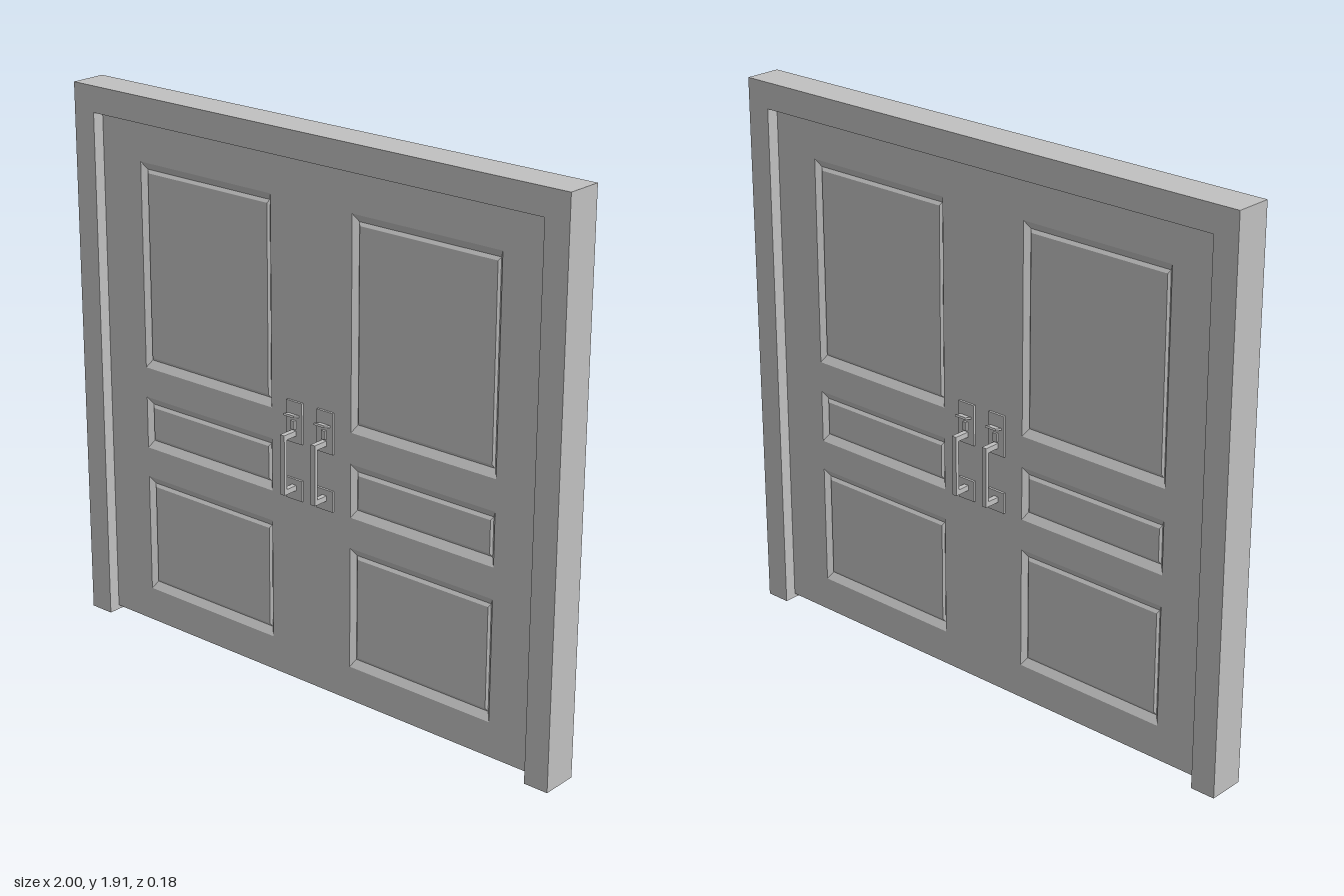
import * as THREE from 'three';

const grey = new THREE.MeshStandardMaterial({ color: 0xc0c0c0 });
grey.name = 'plain grey';

const DOOR_Z = 0.023; // half thickness of the door slab
const PANELS = [[0.96, 1.677], [0.668, 0.853], [0.136, 0.561]]; // bottom, top
const PANEL_X = [0.168, 0.74];

function add(parent, name, geometry, x = 0, y = 0, z = 0) {
  const mesh = new THREE.Mesh(geometry, grey);
  mesh.name = name;
  mesh.position.set(x, y, z);
  parent.add(mesh);
  return mesh;
}

function box(parent, name, w, h, d, x, y, z) {
  return add(parent, name, new THREE.BoxGeometry(w, h, d), x, y, z);
}

function polygon(points) {
  return points.map(([x, y]) => new THREE.Vector2(x, y));
}

function rect(x0, y0, x1, y1) {
  return polygon([[x0, y0], [x1, y0], [x1, y1], [x0, y1]]);
}

function slab(shape, halfDepth) {
  const g = new THREE.ExtrudeGeometry(shape, { depth: 2 * halfDepth, bevelEnabled: false });
  return g.translate(0, 0, -halfDepth);
}

// Sunk panel: slope in, short slope back out, flat centre
function panelGeometry(x0, y0, x1, y1) {
  const rings = [[0, 0, 0], [0.016, 0.026, -0.016], [0.023, 0.037, -0.009]].map(([dx, dy, z]) =>
    rect(x0 + dx, y0 + dy, x1 - dx, y1 - dy).map((p) => [p.x, p.y, DOOR_Z + z]));
  const pos = [];
  const quad = (a, b, c, d) => pos.push(...a, ...b, ...c, ...a, ...c, ...d);
  for (let r = 0; r < 2; r++) {
    for (let i = 0; i < 4; i++) {
      const j = (i + 1) % 4;
      quad(rings[r][i], rings[r][j], rings[r + 1][j], rings[r + 1][i]);
    }
  }
  quad(...rings[2]);
  const g = new THREE.BufferGeometry();
  g.setAttribute('position', new THREE.Float32BufferAttribute(pos, 3));
  g.computeVertexNormals();
  return g;
}

// Pull handle with two back plates and a thumb latch
function makeHandle(x) {
  const handle = new THREE.Group();
  handle.name = 'pullHandle';
  handle.position.set(x, 0, DOOR_Z);
  box(handle, 'upperPlate', 0.067, 0.142, 0.008, 0, 0.938, 0.004);
  box(handle, 'lowerPlate', 0.067, 0.072, 0.008, 0, 0.704, 0.004);
  box(handle, 'gripBar', 0.018, 0.208, 0.012, 0, 0.806, 0.059);
  box(handle, 'upperArm', 0.018, 0.018, 0.053, 0, 0.901, 0.0265);
  box(handle, 'lowerArm', 0.018, 0.018, 0.053, 0, 0.711, 0.0265);
  const latch = box(handle, 'thumbLatch', 0.044, 0.007, 0.032, 0, 0.965, 0.02);
  latch.rotation.x = -0.25;
  box(handle, 'latchStem', 0.016, 0.03, 0.012, 0, 0.93, 0.01);
  return handle;
}

export function createModel() {
  const model = new THREE.Group();
  model.name = 'doubleDoor';

  // Surround: two jambs and a head in one piece
  const frame = new THREE.Shape(polygon([
    [-1, 0], [-0.912, 0], [-0.912, 1.82], [0.912, 1.82],
    [0.912, 0], [1, 0], [1, 1.91], [-1, 1.91],
  ]));
  add(model, 'doorFrame', slab(frame, 0.064));

  // Door slab with an opening for each panel
  const door = new THREE.Shape(rect(-0.912, 0.015, 0.912, 1.82));
  const openings = [];
  for (const [y0, y1] of PANELS) {
    openings.push([PANEL_X[0], y0, PANEL_X[1], y1], [-PANEL_X[1], y0, -PANEL_X[0], y1]);
  }
  for (const o of openings) door.holes.push(new THREE.Path(rect(...o)));
  add(model, 'doorSlab', slab(door, DOOR_Z));

  // Panels and handles, the same on both faces
  for (const [name, turn] of [['frontFace', 0], ['backFace', Math.PI]]) {
    const face = new THREE.Group();
    face.name = name;
    face.rotation.y = turn;
    for (const o of openings) add(face, 'panel', panelGeometry(...o));
    for (const x of [-0.065, 0.065]) face.add(makeHandle(x));
    model.add(face);
  }
  return model;
}
